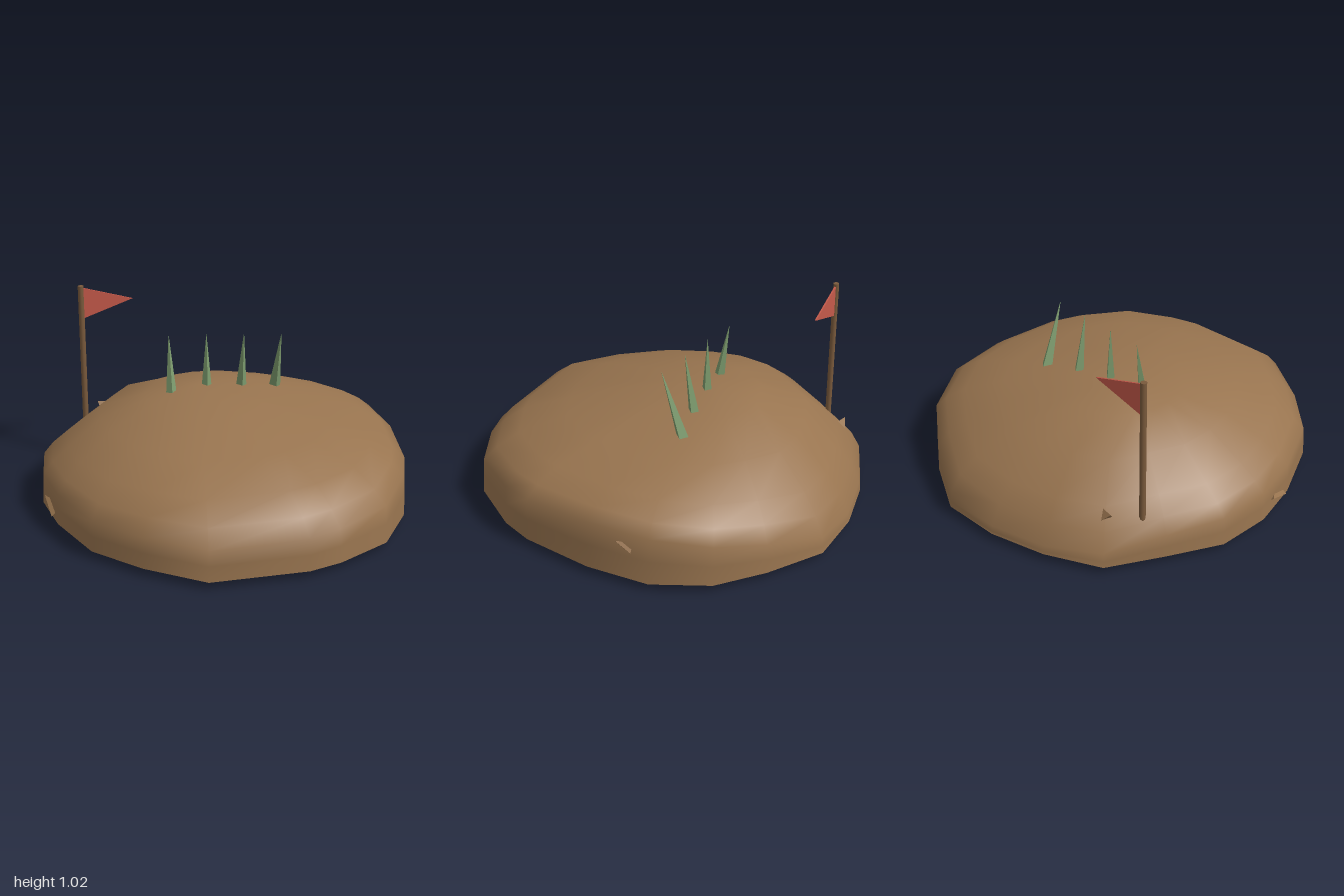
import * as THREE from 'three';

const mat = (name, color, opts = {}) => {
  const m = new THREE.MeshStandardMaterial({ color, ...opts });
  m.name = name;
  return m;
};

// Plan outline of the mound (x, z), starting at the back and turning towards +x
const OUTLINE = [
  [0.02, -1], [0.33, -0.98], [0.6, -0.8], [0.81, -0.61], [0.94, -0.33], [0.95, 0],
  [0.89, 0.38], [0.82, 0.55], [0.63, 0.81], [0.35, 0.95], [0.18, 0.995], [-0.31, 0.985],
  [-0.58, 0.78], [-0.79, 0.55], [-0.91, 0.22], [-0.95, -0.05], [-0.91, -0.33],
  [-0.75, -0.58], [-0.57, -0.84], [-0.28, -0.95],
];
const APEX = [-0.1, 0.58, -0.15];
// Each ring: distance from the apex (0..1), then heights towards +x, -x, +z, -z
const RINGS = [
  [1, 0.04, 0.04, 0.04, 0.04],
  [0.995, 0.17, 0.12, 0.12, 0.05],
  [0.99, 0.3, 0.2, 0.2, 0.08],
  [0.93, 0.35, 0.26, 0.28, 0.19],
  [0.83, 0.41, 0.33, 0.37, 0.285],
  [0.62, 0.475, 0.465, 0.45, 0.435],
  [0.33, 0.535, 0.535, 0.535, 0.545],
];

function indexed(points, index) {
  const g = new THREE.BufferGeometry();
  g.setAttribute('position', new THREE.Float32BufferAttribute(points, 3));
  g.setIndex(index);
  g.computeVertexNormals();
  return g;
}

function moundGeometry() {
  const n = OUTLINE.length, pos = [], idx = [];
  for (const [t, px, nx, pz, nz] of RINGS) {
    for (const [x, z] of OUTLINE) {
      const dx = x - APEX[0], dz = z - APEX[2];
      const w = dx * dx / (dx * dx + dz * dz);
      const y = w * (dx > 0 ? px : nx) + (1 - w) * (dz > 0 ? pz : nz);
      pos.push(APEX[0] + dx * t, y, APEX[2] + dz * t);
    }
  }
  pos.push(...APEX);
  const top = RINGS.length * n;
  for (let r = 0; r < RINGS.length; r++) {
    for (let i = 0; i < n; i++) {
      const j = (i + 1) % n, a = r * n + i, b = r * n + j;
      if (r === RINGS.length - 1) idx.push(top, b, a);
      else idx.push(a + n, b, a, a + n, b + n, b);
    }
  }
  return indexed(pos, idx);
}

function undersideGeometry() {
  const n = OUTLINE.length, pos = [], idx = [];
  OUTLINE.forEach(([x, z]) => pos.push(x, 0.04, z));
  OUTLINE.forEach(([x, z]) => pos.push(x * 0.6, 0.012, z * 0.6));
  pos.push(0, 0, 0);
  for (let i = 0; i < n; i++) {
    const j = (i + 1) % n;
    idx.push(i, j, n + i, j, n + j, n + i, n + i, n + j, 2 * n);
  }
  return indexed(pos, idx);
}

export function createModel() {
  const group = new THREE.Group();
  const earth = mat('earth brown', 0x98744f);
  const facetedEarth = earth;
  const wood = mat('pole brown', 0x7a5a3c);
  const green = mat('grass green', 0x7d9c6e, { flatShading: true });
  const red = mat('flag red', 0xc4594a, { side: THREE.DoubleSide });

  const add = (name, geo, material, x = 0, y = 0, z = 0) => {
    const mesh = new THREE.Mesh(geo, material);
    mesh.name = name;
    mesh.position.set(x, y, z);
    group.add(mesh);
    return mesh;
  };

  add('mound', moundGeometry(), earth);
  add('moundUnderside', undersideGeometry(), earth);

  // Half-buried stones
  const stone = (name, x, y, z, sx, sy, sz, turn) => {
    const m = add(name, new THREE.TetrahedronGeometry(1), facetedEarth, x, y, z);
    m.scale.set(sx, sy, sz);
    m.rotation.y = turn;
  };
  stone('backStone', -0.47, 0.24, -0.73, 0.1, 0.09, 0.08, 0.4);
  stone('rightStone', -0.91, 0.09, 0.1, 0.055, 0.05, 0.12, 0.1);
  stone('leftStone', 0.93, 0.22, -0.2, 0.03, 0.04, 0.07, 0);

  // Row of grass blades, fanning from back-leaning to front-leaning
  for (let i = 0; i < 4; i++) {
    const blade = add('grassBlade' + (i + 1), new THREE.ConeGeometry(0.035, 0.39, 4),
      green, -0.24 + i * 0.195, 0.665, -0.16);
    blade.rotation.x = (i - 1) * 0.165;
  }

  // Flag on its pole
  add('flagPole', new THREE.CylinderGeometry(0.016, 0.016, 0.82, 8), wood, -0.63, 0.61, -0.62);
  const pennant = new THREE.Shape([
    new THREE.Vector2(0, 1.01), new THREE.Vector2(0, 0.835), new THREE.Vector2(0.275, 0.93),
  ]);
  add('flag', new THREE.ExtrudeGeometry(pennant, { depth: 0.008, bevelEnabled: false }),
    red, -0.625, 0, -0.624);

  return group;
}
